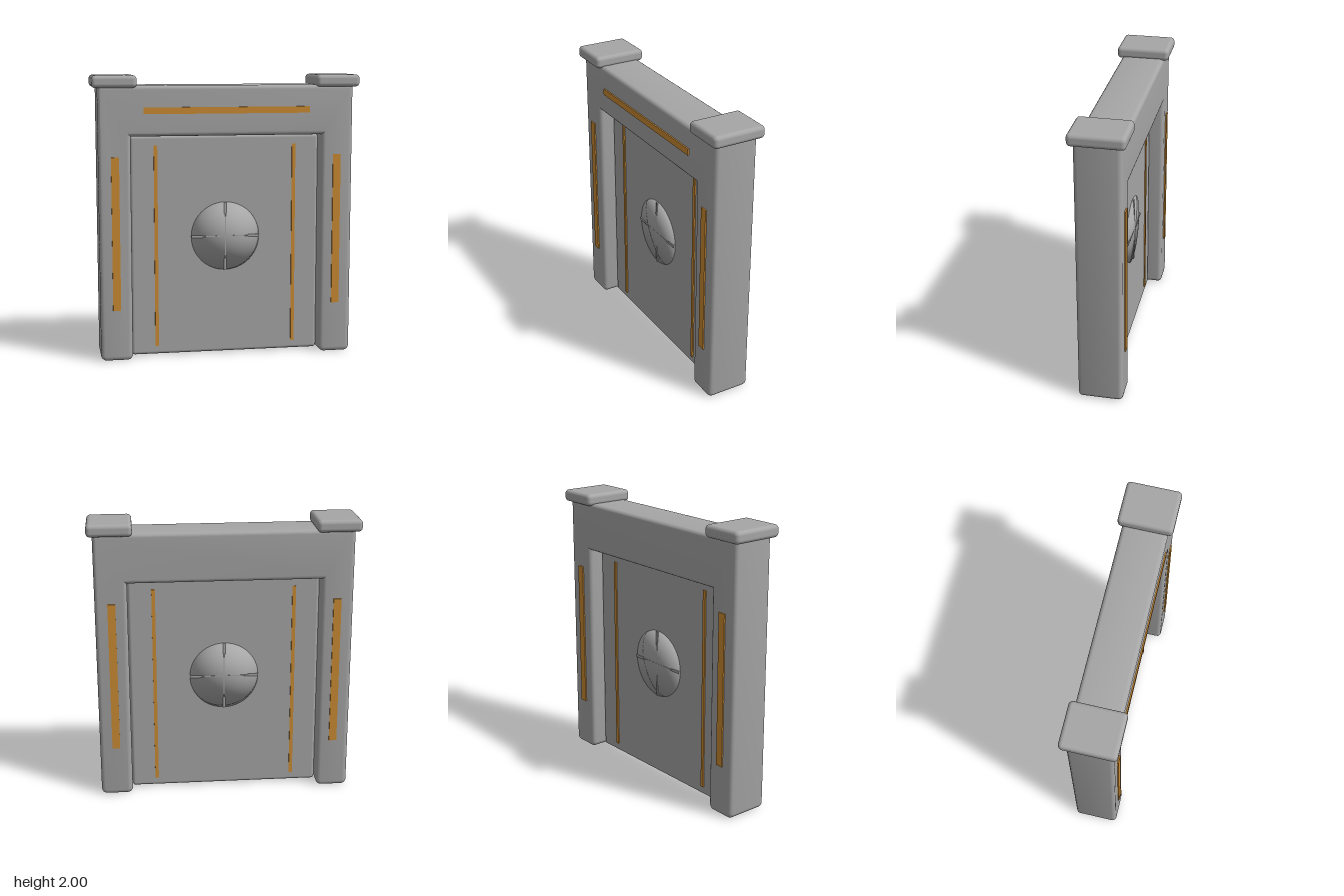
import * as THREE from 'three';
import { toCreasedNormals } from 'three/addons/utils/BufferGeometryUtils.js';
import { RoundedBoxGeometry } from 'three/addons/geometries/RoundedBoxGeometry.js';

const stone = new THREE.MeshStandardMaterial({ color: 0xa6a6a6 });
stone.name = 'grey stone';
const amber = new THREE.MeshStandardMaterial({ color: 0xcb8b33 });
amber.name = 'amber inlay';

const FRAME_Z = 0.155; // half depth of the arch
const DOOR_Z = 0.05; // half depth of the door

export function createModel() {
  const model = new THREE.Group();
  model.name = 'gate';

  const add = (name, geometry, material, x = 0, y = 0, z = 0, parent = model) => {
    const mesh = new THREE.Mesh(geometry, material);
    mesh.name = name;
    mesh.position.set(x, y, z);
    parent.add(mesh);
    return mesh;
  };

  // Arch: two posts and the lintel in one bevelled outline
  const r = 0.04, bevel = 0.03, outer = 0.9, inner = 0.675, top = 1.93, under = 1.58;
  const outline = new THREE.Shape();
  outline.moveTo(-outer, top);
  for (const [a, b] of [[-outer, -inner], [inner, outer]]) {
    outline.lineTo(a, r);
    outline.absarc(a + r, r, r, Math.PI, Math.PI * 1.5, false);
    outline.absarc(b - r, r, r, Math.PI * 1.5, Math.PI * 2, false);
    outline.lineTo(b, a < 0 ? under : top);
    if (a < 0) outline.lineTo(inner, under);
  }
  const depth = 2 * (FRAME_Z - bevel);
  const arch = new THREE.ExtrudeGeometry(outline, {
    depth, bevelEnabled: true, bevelThickness: bevel, bevelSize: bevel,
    bevelOffset: -bevel, bevelSegments: 4, curveSegments: 5,
  });
  arch.translate(0, 0, -depth / 2);
  add('arch', toCreasedNormals(arch, 0.6), stone);

  // Door slab set back inside the arch
  add('door', new RoundedBoxGeometry(1.35, 1.57, DOOR_Z * 2, 4, 0.022), stone, 0, 0.793);

  // Post caps and inlays on both sides
  for (const side of [-1, 1]) {
    add('postCap', new RoundedBoxGeometry(0.31, 0.085, 0.375, 4, 0.028), stone, side * 0.785, 1.9575);
    for (const face of [-1, 1]) {
      add('postInlay', new THREE.BoxGeometry(0.055, 1.075, 0.0098), amber,
        side * 0.785, 0.9025, face * (FRAME_Z + 0.0045));
      add('doorInlay', new THREE.BoxGeometry(0.025, 1.44, 0.0098), amber,
        side * 0.495, 0.79, face * (DOOR_Z + 0.004));
    }
  }

  // Inlay on the front of the lintel only
  add('lintelInlay', new THREE.BoxGeometry(1.17, 0.045, 0.0098), amber, 0, 1.7575, FRAME_Z + 0.0045);

  // Shallow round boss: a flattened hemisphere that keeps its round shading
  const radius = 0.245;
  const boss = new THREE.SphereGeometry(radius, 48, 16, 0, Math.PI * 2, 0, Math.PI / 2);
  boss.rotateX(Math.PI / 2);
  const p = boss.attributes.position;
  for (let i = 0; i < p.count; i++) p.setZ(i, p.getZ(i) * 0.06);

  for (const face of [0, 1]) {
    const lock = new THREE.Group();
    lock.name = face ? 'backLock' : 'frontLock';
    lock.position.y = 0.857;
    lock.rotation.y = face * Math.PI;
    model.add(lock);
    add('boss', boss, stone, 0, 0, DOOR_Z + 0.001, lock);
    // Cross of thin ribs with wider ends
    for (let i = 0; i < 4; i++) {
      const arm = new THREE.Group();
      arm.name = 'crossArm';
      arm.rotation.z = i * Math.PI / 2;
      lock.add(arm);
      add('rib', new THREE.BoxGeometry(0.165, 0.008, 0.018), stone, 0.0825, 0, DOOR_Z + 0.008, arm);
      add('ribEnd', new THREE.BoxGeometry(0.08, 0.018, 0.014), stone, 0.204, 0, DOOR_Z + 0.006, arm);
    }
  }
  return model;
}
